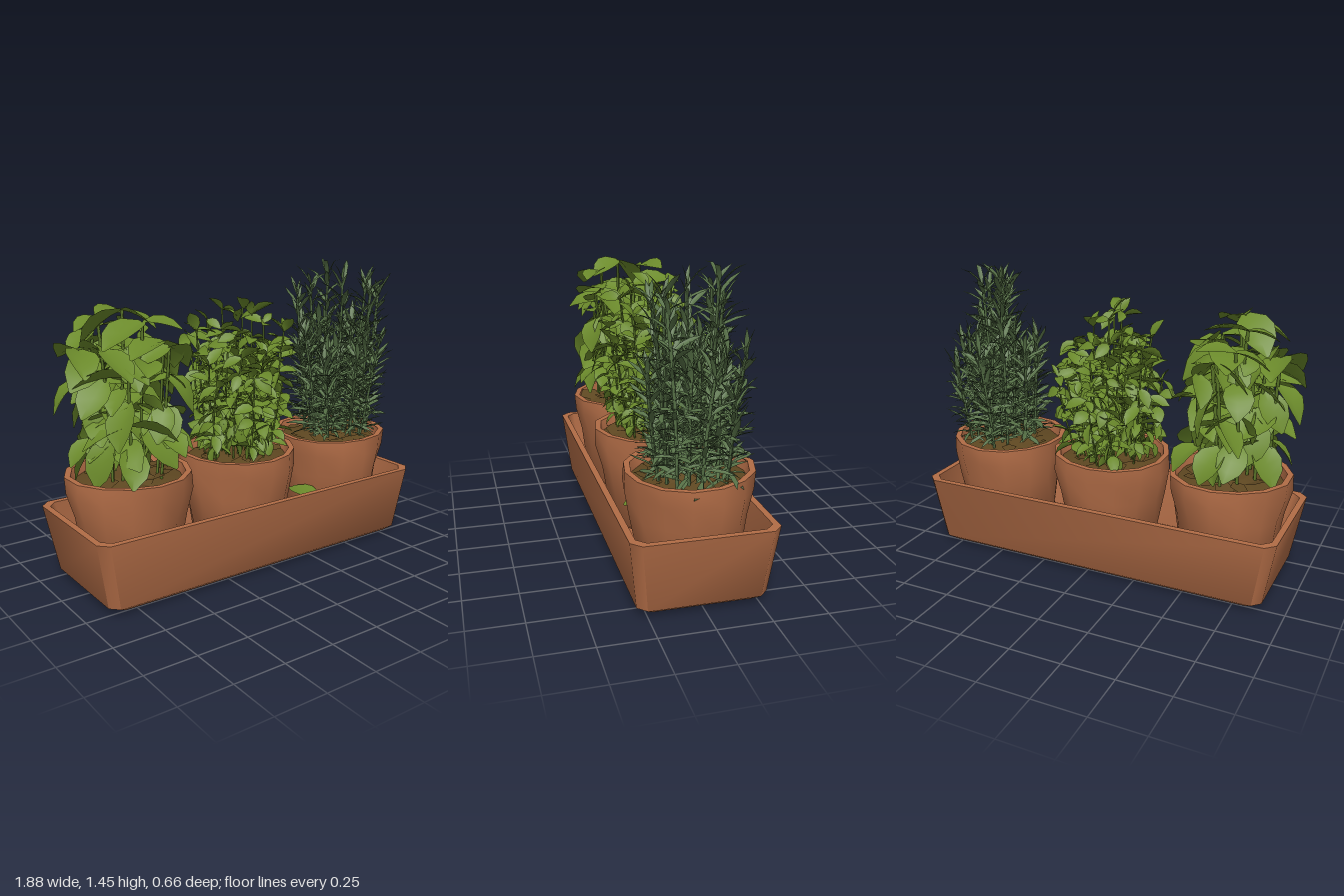
import * as THREE from 'three';
import { mergeGeometries, toCreasedNormals } from 'three/addons/utils/BufferGeometryUtils.js';

const paint = (name, color, side = THREE.FrontSide) => {
  const m = new THREE.MeshStandardMaterial({ color, side });
  m.name = name;
  return m;
};

// Small seeded random generator
let seed = 7;
const rand = (lo = 0, hi = 1) => {
  seed = (seed * 1664525 + 1013904223) % 4294967296;
  return lo + (hi - lo) * seed / 4294967296;
};
const lerp = THREE.MathUtils.lerp;
const polar = (r, a, y) => new THREE.Vector3(r * Math.sin(a), y, r * Math.cos(a));

// Joins chamfered rectangles [halfX, halfZ, y, chamfer, centreX] into a skin
function loft(rings) {
  const pos = [], idx = [];
  for (const [hx, hz, y, c, cx] of rings) {
    for (const [x, z] of [[hx, hz - c], [hx, c - hz], [hx - c, -hz], [c - hx, -hz],
      [-hx, c - hz], [-hx, hz - c], [c - hx, hz], [hx - c, hz]]) pos.push(cx + x, y, z);
  }
  for (let r = 0; r < rings.length - 1; r++) {
    for (let i = 0; i < 8; i++) {
      const a = r * 8 + i, b = r * 8 + (i + 1) % 8;
      idx.push(a, b, b + 8, a, b + 8, a + 8);
    }
  }
  const g = new THREE.BufferGeometry();
  g.setAttribute('position', new THREE.Float32BufferAttribute(pos, 3));
  g.setIndex(idx);
  return toCreasedNormals(g, 0.9);
}

// Leaf lying along +z, folded along the midrib and drooping at the tip
function leafShape(length, width, rows, fold, curl, blunt) {
  const g = new THREE.PlaneGeometry(1, 1, 2, rows).rotateX(-Math.PI / 2).translate(0, 0, 0.5);
  const p = g.attributes.position;
  for (let i = 0; i < p.count; i++) {
    const t = p.getZ(i);
    const w = Math.pow(Math.sin(Math.PI * lerp(0.04, 0.99, t)), blunt);
    const x = p.getX(i) * w;
    p.setXYZ(i, x * width, Math.abs(x) * fold * width - curl * t * t * length, t * length);
  }
  g.computeVertexNormals();
  return g;
}

// Copy of a flat shape set at a point with a heading, an upward pitch and a roll
function placed(shape, at, yaw, up, roll, s) {
  const q = new THREE.Quaternion().setFromEuler(new THREE.Euler(-up, yaw, roll, 'YXZ'));
  return shape.clone().applyMatrix4(new THREE.Matrix4().compose(at, q, new THREE.Vector3(s, s, s)));
}

// Bushy plant: fanned stems carrying whorls of leaves, every fourth stem at full height
function plant(o) {
  const stems = [], leaves = [];
  for (let i = 0; i < o.stems; i++) {
    const a = i * 2.39996 + rand(-0.3, 0.3);
    const f = Math.sqrt((i + 0.5) / o.stems);
    const h = lerp(o.tall, o.short, f * f) * (i % 4 ? rand(...o.vary) : rand(0.93, 1));
    const spread = o.spread * f * rand(0.85, 1.15);
    const curve = new THREE.QuadraticBezierCurve3(polar(0.18 * f, a, 0.52),
      polar(spread * 0.85, a, 0.52 + h * 0.5), polar(spread, a + rand(-0.3, 0.3), 0.54 + h));
    stems.push(new THREE.TubeGeometry(curve, 4, o.stemRadius, 4));
    for (let k = 0; k < o.nodes; k++) {
      const u = k / (o.nodes - 1);
      const at = curve.getPoint(lerp(o.from, 1, u));
      for (let j = 0; j < o.whorl; j++) {
        const yaw = a + k * 1.45 + j * 2 * Math.PI / o.whorl + rand(-0.5, 0.5);
        const up = lerp(o.pitch[0], o.pitch[1], u) + rand(-o.tilt, o.tilt);
        leaves.push(placed(o.leaf, at, yaw, up, rand(-o.tilt, o.tilt), rand(0.65, 1.2)));
      }
    }
  }
  const stemGeo = mergeGeometries(stems), leafGeo = mergeGeometries(leaves);

  // Gather stray tips softly into the bush outline
  for (const g of [stemGeo, leafGeo]) {
    const p = g.attributes.position;
    for (let i = 0; i < p.count; i++) {
      const x = p.getX(i), z = p.getZ(i), r = Math.hypot(x, z);
      const k = r > o.radius ? (o.radius + (r - o.radius) * 0.5) / r : 1;
      p.setXYZ(i, x * k, Math.min(o.top, Math.max(0.53, p.getY(i))), z * k);
    }
    g.computeVertexNormals();
  }
  const group = new THREE.Group();
  group.name = o.name;
  group.position.x = o.x;
  const stemMesh = new THREE.Mesh(stemGeo, o.stemMat), leafMesh = new THREE.Mesh(leafGeo, o.leafMat);
  stemMesh.name = 'stems';
  leafMesh.name = 'leaves';
  group.add(stemMesh, leafMesh);
  return group;
}

export function createModel() {
  seed = 7;
  const model = new THREE.Group();
  model.name = 'herbPlanter';
  const clay = paint('terracotta', 0xb16c46);
  const earth = paint('soil', 0x5e4721, THREE.DoubleSide);
  const stemGreen = paint('stem green', 0x5c7829);
  const broadGreen = paint('broad leaf green', 0x6b8a2b, THREE.DoubleSide);
  const herbGreen = paint('small leaf green', 0x69882a, THREE.DoubleSide);
  const needleGreen = paint('needle green', 0x567046, THREE.DoubleSide);
  const add = (name, geo, mat, x = 0) => {
    const mesh = new THREE.Mesh(geo, mat);
    mesh.name = name;
    mesh.position.x = x;
    model.add(mesh);
    return mesh;
  };

  // Long trough: underside, flared walls, rim and inside floor
  add('trough', loft([
    [0, 0, 0, 0, -0.02], [0.6, 0.2, 0.003, 0.05, -0.02], [0.84, 0.265, 0.012, 0.05, -0.02],
    [0.87, 0.292, 0.035, 0.04, -0.02], [0.925, 0.33, 0.36, 0.045, -0.025],
    [0.895, 0.3, 0.36, 0.04, -0.025], [0.84, 0.265, 0.06, 0.04, -0.02], [0, 0, 0.06, 0, -0.02],
  ]), clay);

  // Three pots with soil and loose flakes on top
  const profile = [[0.001, 0.06], [0.2, 0.06], [0.22, 0.08], [0.265, 0.36], [0.293, 0.48], [0.293, 0.56],
    [0.265, 0.56], [0.25, 0.5], [0.001, 0.5]].map(([r, y]) => new THREE.Vector2(r, y));
  const flake = new THREE.CircleGeometry(0.06, 5).rotateX(-Math.PI / 2);
  [-0.635, -0.02, 0.585].forEach((x, n) => {
    const pot = new THREE.LatheGeometry(profile, 14);
    const p = pot.attributes.position;
    for (let i = 0; i < p.count; i++) {
      // Gentle hand-made wobble
      const a = Math.atan2(p.getX(i), p.getZ(i));
      const k = 1 + 0.025 * Math.sin(3 * a + n * 2 + p.getY(i) * 12);
      p.setXYZ(i, p.getX(i) * k, p.getY(i), p.getZ(i) * k);
    }
    add('pot', toCreasedNormals(pot, 0.9), clay, x);
    add('soil', new THREE.CylinderGeometry(0.1, 0.265, 0.035, 14).translate(0, 0.53, 0), earth, x);
    const flakes = [];
    for (let i = 0; i < 16; i++) {
      const at = polar(rand(0.1, 0.21), i * 2.4, rand(0.535, 0.55));
      flakes.push(placed(flake, at, rand(0, 6), rand(-0.3, 0.3), rand(-0.3, 0.3), rand(0.6, 1.1)));
    }
    add('soilFlakes', mergeGeometries(flakes), earth, x);
  });

  // Leaf fallen between two pots
  add('fallenLeaf', placed(leafShape(0.17, 0.14, 4, 0.2, 0.1, 0.6),
    new THREE.Vector3(0.29, 0.3, 0.06), 0.1, 0, 0, 1), broadGreen);

  // Broad-leaved herb
  model.add(plant({
    name: 'broadLeafHerb', x: -0.65, top: 1.37, stems: 18, tall: 0.8, short: 0.64, vary: [0.72, 0.95],
    spread: 0.23, radius: 0.29, stemRadius: 0.008, nodes: 4, whorl: 2, from: 0.36, pitch: [-0.65, -0.1],
    tilt: 0.5, leaf: leafShape(0.2, 0.145, 4, 0.3, 0.3, 0.65), leafMat: broadGreen, stemMat: stemGreen,
  }));

  // Small-leaved herb
  model.add(plant({
    name: 'smallLeafHerb', x: -0.02, top: 1.32, stems: 36, tall: 0.76, short: 0.56, vary: [0.55, 0.85],
    spread: 0.27, radius: 0.29, stemRadius: 0.005, nodes: 6, whorl: 3, from: 0.22, pitch: [-0.3, 0.3],
    tilt: 0.9, leaf: leafShape(0.1, 0.06, 4, 0.4, 0.25, 0.8), leafMat: herbGreen, stemMat: stemGreen,
  }));

  // Needle-leaved herb
  model.add(plant({
    name: 'needleHerb', x: 0.625, top: 1.45, stems: 26, tall: 0.84, short: 0.74, vary: [0.48, 0.75],
    spread: 0.24, radius: 0.26, stemRadius: 0.008, nodes: 18, whorl: 3, from: 0.1, pitch: [0.25, 1.15],
    tilt: 0.55, leaf: leafShape(0.13, 0.024, 3, 0.4, 0.2, 0.8), leafMat: needleGreen, stemMat: needleGreen,
  }));
  return model;
}
